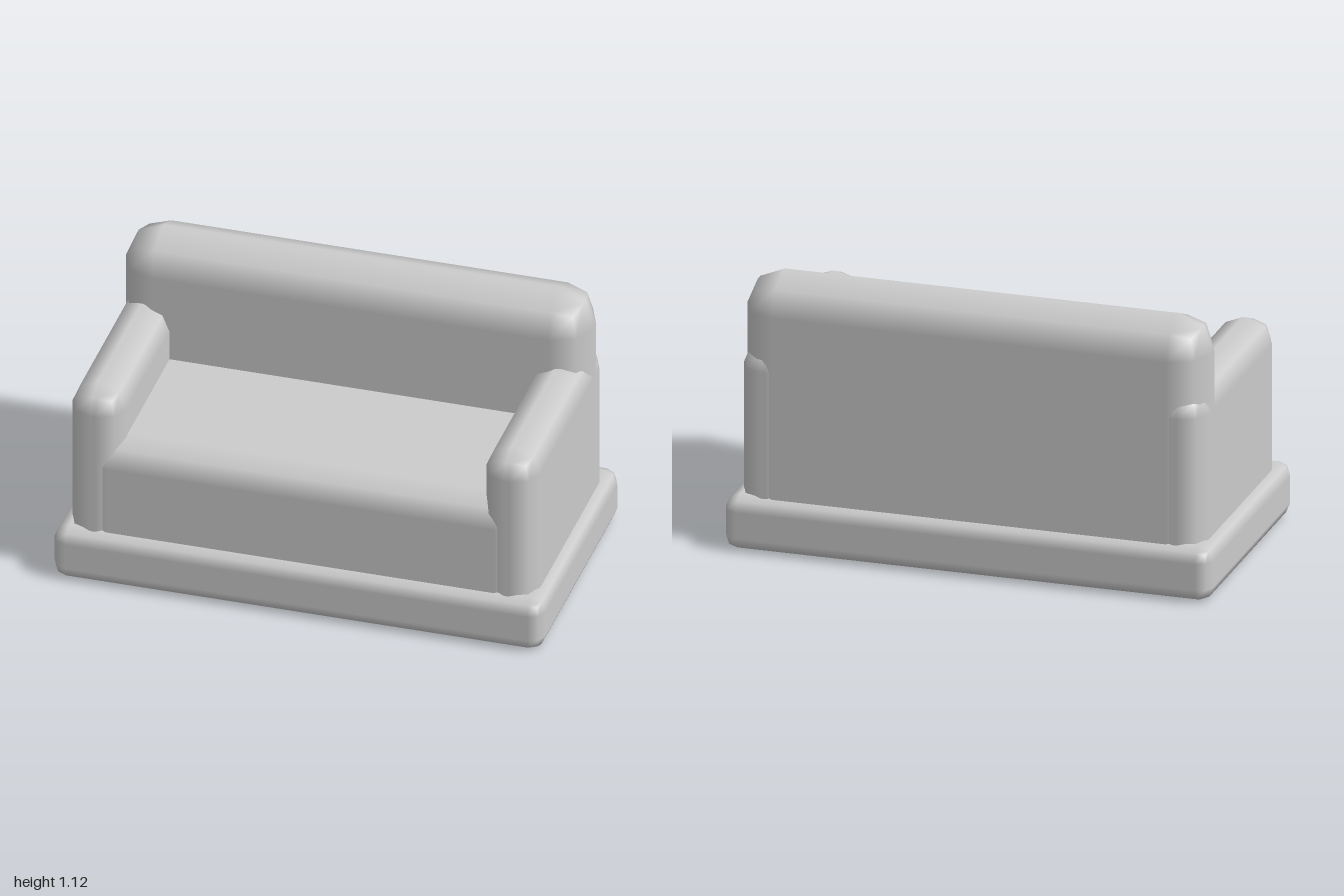
import * as THREE from 'three';
import { RoundedBoxGeometry } from 'three/addons/geometries/RoundedBoxGeometry.js';

const upholstery = new THREE.MeshStandardMaterial({ color: 0xcccccc });
upholstery.name = 'greyUpholstery';

// Soft block spanning the given [min, max] ranges, with two facets per rounded edge
function cushion(name, [x0, x1], [y0, y1], [z0, z1], radius) {
  const geometry = new RoundedBoxGeometry(x1 - x0, y1 - y0, z1 - z0, 1, radius);
  const mesh = new THREE.Mesh(geometry, upholstery);
  mesh.name = name;
  mesh.position.set((x0 + x1) / 2, (y0 + y1) / 2, (z0 + z1) / 2);
  return mesh;
}

export function createModel() {
  const sofa = new THREE.Group();
  sofa.name = 'sofa';

  // Wide plinth under everything
  sofa.add(cushion('base', [-1, 1], [0, 0.225], [-0.55, 0.55], 0.058));

  // Seat, with its ends buried in the arms and the backrest
  sofa.add(cushion('seat', [-0.9, 0.9], [0.02, 0.62], [-0.45, 0.5], 0.11));

  // Backrest
  sofa.add(cushion('backrest', [-0.953, 0.953], [0.02, 1.123], [-0.505, -0.185], 0.145));

  // Mirrored armrests
  for (const [name, side] of [['leftArm', 1], ['rightArm', -1]]) {
    const arm = cushion(name, [0.733, 0.953], [0.02, 0.845], [-0.505, 0.505], 0.1);
    arm.position.x *= side;
    sofa.add(arm);
  }
  return sofa;
}
